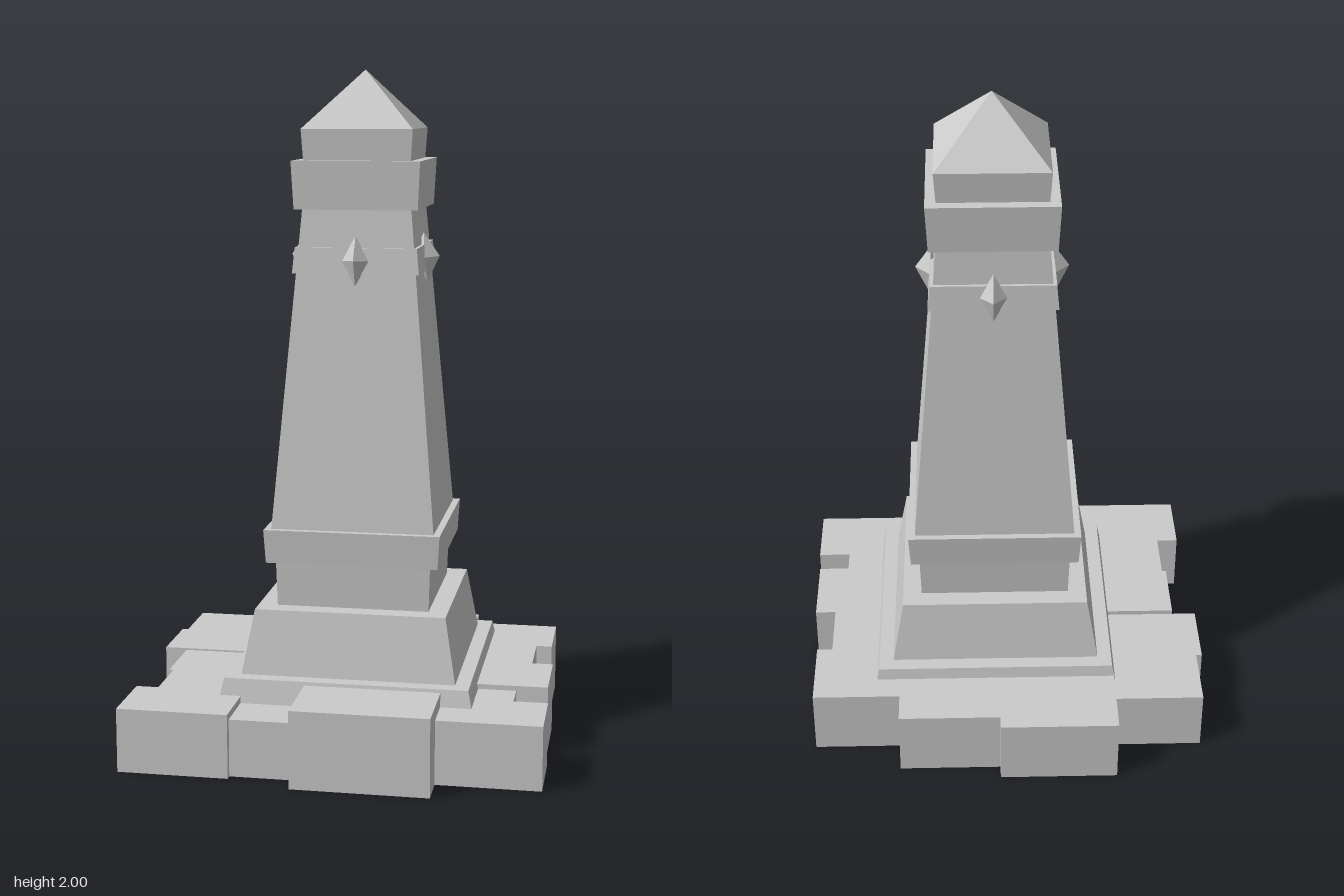
import * as THREE from 'three';

export function createModel() {
  const model = new THREE.Group();
  const material = new THREE.MeshStandardMaterial({ color: 0xcccccc, flatShading: true });
  const add = (parent, name, geometry) => {
    const mesh = new THREE.Mesh(geometry, material);
    mesh.name = name;
    parent.add(mesh);
    return mesh;
  };

  // Square tower, stacked from tapered blocks: name, bottom y, top y, half width below, half width above
  const tower = new THREE.Group();
  tower.name = 'tower';
  tower.position.x = 0.033;
  model.add(tower);
  const blocks = [
    ['plinth', 0, 0.24, 0.41, 0.36],
    ['slopedBase', 0.24, 0.43, 0.317, 0.283],
    ['neck', 0.43, 0.565, 0.226, 0.23],
    ['lowerCollar', 0.565, 0.665, 0.255, 0.261],
    ['shaft', 0.665, 1.6, 0.241, 0.16],
    ['shaftBand', 1.415, 1.49, 0.186, 0.179],
    ['upperCollar', 1.6, 1.74, 0.181, 0.188],
    ['capBlock', 1.74, 1.83, 0.157, 0.163],
    ['pyramidCap', 1.83, 2, 0.163, 0],
  ];
  for (const [name, y0, y1, below, above] of blocks) {
    const g = new THREE.CylinderGeometry(above * Math.SQRT2, below * Math.SQRT2, y1 - y0, 4);
    g.rotateY(Math.PI / 4).translate(0, (y0 + y1) / 2, 0);
    add(tower, name, g);
  }

  // Pointed studs, one per side, leaning with the shaft
  for (let i = 0; i < 4; i++) {
    const g = new THREE.OctahedronGeometry(1);
    g.scale(0.04, 0.073, 0.042).rotateX(-0.085);
    g.translate(0, 1.453, 0.181).rotateY((i * Math.PI) / 2);
    add(tower, 'stud', g);
  }

  // Uneven paving stones round the foot: x0, x1, z0, z1, height
  const paving = new THREE.Group();
  paving.name = 'paving';
  model.add(paving);
  const stones = [
    [-0.333, 0.023, -0.59, -0.25, 0.205], // back
    [0.023, 0.33, -0.545, -0.25, 0.205],
    [0.33, 0.595, -0.445, -0.222, 0.205], // right side
    [0.3, 0.547, -0.222, -0.04, 0.205],
    [0.3, 0.61, -0.04, 0.186, 0.205],
    [0.3, 0.517, 0.186, 0.281, 0.19],
    [0.313, 0.617, 0.281, 0.485, 0.19],
    [-0.087, 0.313, 0.25, 0.588, 0.23], // front
    [-0.275, -0.087, 0.25, 0.52, 0.17],
    [-0.602, -0.275, 0.333, 0.54, 0.19], // left side
    [-0.535, -0.275, 0.165, 0.333, 0.19],
    [-0.548, -0.275, -0.04, 0.165, 0.19],
    [-0.62, -0.275, -0.26, -0.057, 0.19],
    [-0.602, -0.333, -0.456, -0.26, 0.19],
  ];
  for (const [x0, x1, z0, z1, h] of stones) {
    const stone = add(paving, 'pavingStone', new THREE.BoxGeometry(x1 - x0, h, z1 - z0));
    stone.position.set((x0 + x1) / 2, h / 2, (z0 + z1) / 2);
  }

  return model;
}
